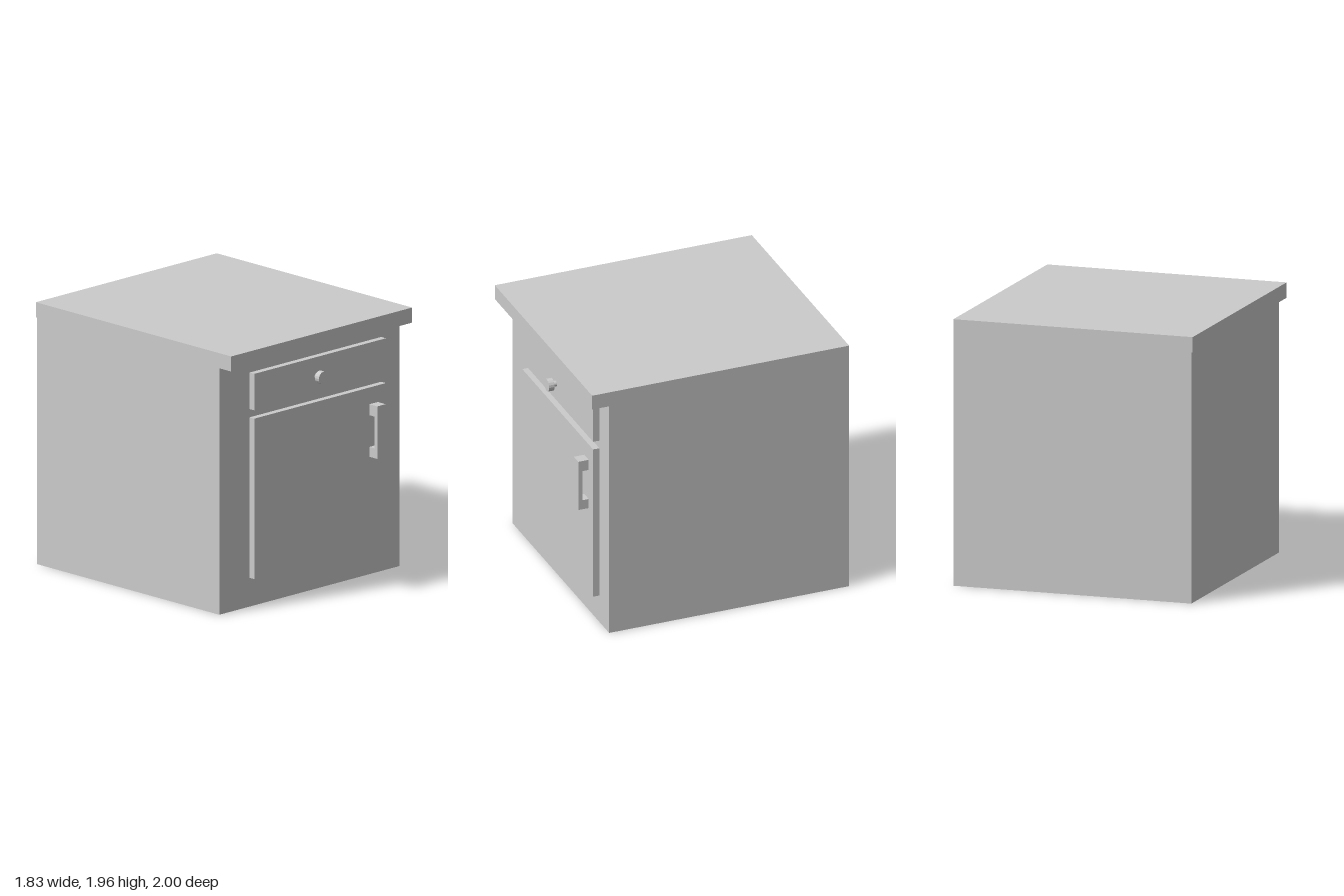
import * as THREE from 'three';

const material = new THREE.MeshStandardMaterial({ color: 0xcccccc, flatShading: true });

// Box given by its limits along each axis
function block(name, [x0, x1], [y0, y1], [z0, z1]) {
  const mesh = new THREE.Mesh(new THREE.BoxGeometry(x1 - x0, y1 - y0, z1 - z0), material);
  mesh.position.set((x0 + x1) / 2, (y0 + y1) / 2, (z0 + z1) / 2);
  mesh.name = name;
  return mesh;
}

// Disc or rod lying along z
function rod(name, radius, z0, z1) {
  const geometry = new THREE.CylinderGeometry(radius, radius, z1 - z0, 16).rotateX(Math.PI / 2);
  const mesh = new THREE.Mesh(geometry, material);
  mesh.position.z = (z0 + z1) / 2;
  mesh.name = name;
  return mesh;
}

export function createModel() {
  const cabinet = new THREE.Group();
  cabinet.name = 'cabinet';

  // Carcass and overhanging worktop
  cabinet.add(
    block('body', [-0.905, 0.913], [0, 1.847], [-1, 0.868]),
    block('worktop', [-0.915, 0.913], [1.847, 1.96], [-1, 1])
  );

  // Raised fronts
  cabinet.add(
    block('drawerFront', [-0.6, 0.73], [1.477, 1.75], [0.868, 0.917]),
    block('door', [-0.6, 0.73], [0.215, 1.415], [0.868, 0.917])
  );

  // Drawer knob: thin neck and wider head
  const knob = new THREE.Group();
  knob.name = 'drawerKnob';
  knob.position.set(0.03, 1.608, 0);
  knob.add(rod('knobNeck', 0.021, 0.917, 0.945), rod('knobHead', 0.047, 0.945, 0.988));
  cabinet.add(knob);

  // Door handle: bracket profile (z, y) extruded across x
  const profile = new THREE.Shape([
    [0.917, 0.897], [0.998, 0.897], [0.998, 1.29], [0.917, 1.29],
    [0.917, 1.208], [0.967, 1.208], [0.967, 0.971], [0.917, 0.971]
  ].map(([z, y]) => new THREE.Vector2(z, y)));
  const handleGeometry = new THREE.ExtrudeGeometry(profile, { depth: 0.085, bevelEnabled: false });
  handleGeometry.rotateY(-Math.PI / 2);
  const handle = new THREE.Mesh(handleGeometry, material);
  handle.position.x = 0.648;
  handle.name = 'doorHandle';
  cabinet.add(handle);

  return cabinet;
}
